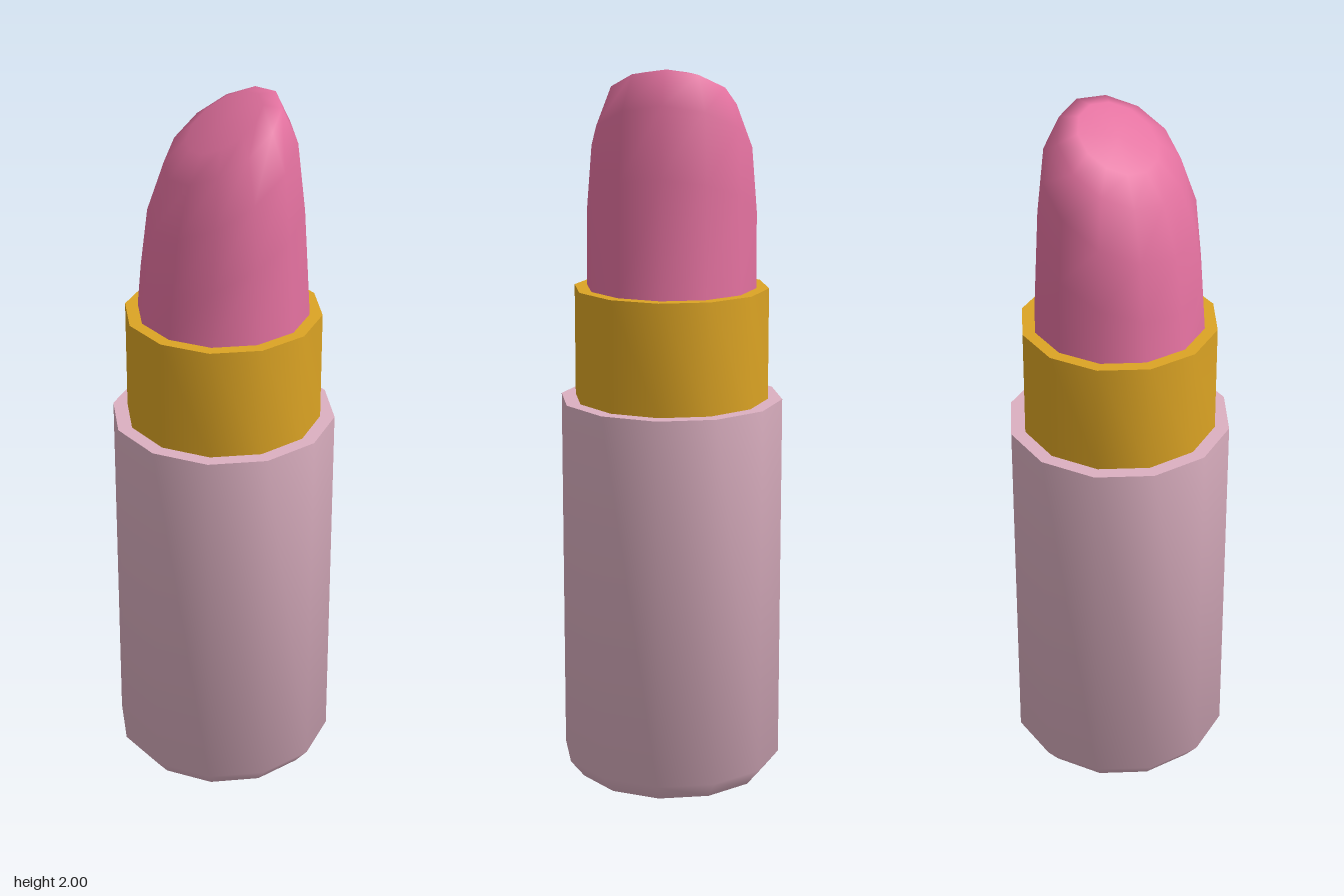
import * as THREE from 'three';
import { toCreasedNormals } from 'three/addons/utils/BufferGeometryUtils.js';

const SIDES = 12;

const caseMaterial = new THREE.MeshStandardMaterial({ name: 'dusty pink', color: 0xdcb0c1 });
const collarMaterial = new THREE.MeshStandardMaterial({ name: 'gold', color: 0xdca424 });
const bulletMaterial = new THREE.MeshStandardMaterial({ name: 'rose', color: 0xe3719f });

function addPart(group, name, geometry, material) {
  const mesh = new THREE.Mesh(geometry, material);
  mesh.name = name;
  group.add(mesh);
}

// Turned solid: smooth around its sides, sharp at the rims
function turned(profile) {
  const points = profile.map(([r, y]) => new THREE.Vector2(r, y));
  return toCreasedNormals(new THREE.LatheGeometry(points, SIDES), 0.87);
}

// Slanted bullet: rings that tilt and shrink towards a cut tip
function bulletGeometry() {
  // left x, left y, right x, right y, half depth in z
  const rings = [
    [-0.235, 1.4, 0.235, 1.4, 0.235],
    [-0.222, 1.5, 0.213, 1.72, 0.234],
    [-0.2, 1.66, 0.19, 1.91, 0.22],
    [-0.153, 1.8, 0.147, 2.0, 0.177],
    [-0.095, 1.872, 0.1, 1.998, 0.115],
  ];
  const positions = [];
  const index = [];
  for (const [xl, yl, xr, yr, depth] of rings) {
    for (let i = 0; i < SIDES; i++) {
      const a = (i / SIDES) * Math.PI * 2;
      const t = (1 + Math.cos(a)) / 2;
      positions.push(xl + (xr - xl) * t, yl + (yr - yl) * t, depth * Math.sin(a));
    }
  }
  const tip = rings.length * SIDES;
  positions.push(0.002, 1.937, 0);

  for (let r = 0; r < rings.length; r++) {
    for (let i = 0; i < SIDES; i++) {
      const a = r * SIDES + i;
      const b = r * SIDES + ((i + 1) % SIDES);
      if (r === rings.length - 1) index.push(tip, b, a);
      else index.push(b, a, a + SIDES, b, a + SIDES, b + SIDES);
    }
  }
  const geometry = new THREE.BufferGeometry();
  geometry.setAttribute('position', new THREE.Float32BufferAttribute(positions, 3));
  geometry.setIndex(index);
  geometry.computeVertexNormals();
  return geometry;
}

export function createModel() {
  const model = new THREE.Group();
  model.name = 'lipstick';

  // Case with a bevelled foot
  addPart(model, 'case', turned([[0, 0], [0.27, 0], [0.31, 0.05], [0.31, 1.09], [0, 1.09]]), caseMaterial);

  // Metal collar
  addPart(model, 'collar', turned([[0.27, 1.09], [0.27, 1.4], [0, 1.4]]), collarMaterial);

  // Lipstick bullet
  addPart(model, 'bullet', bulletGeometry(), bulletMaterial);

  return model;
}
